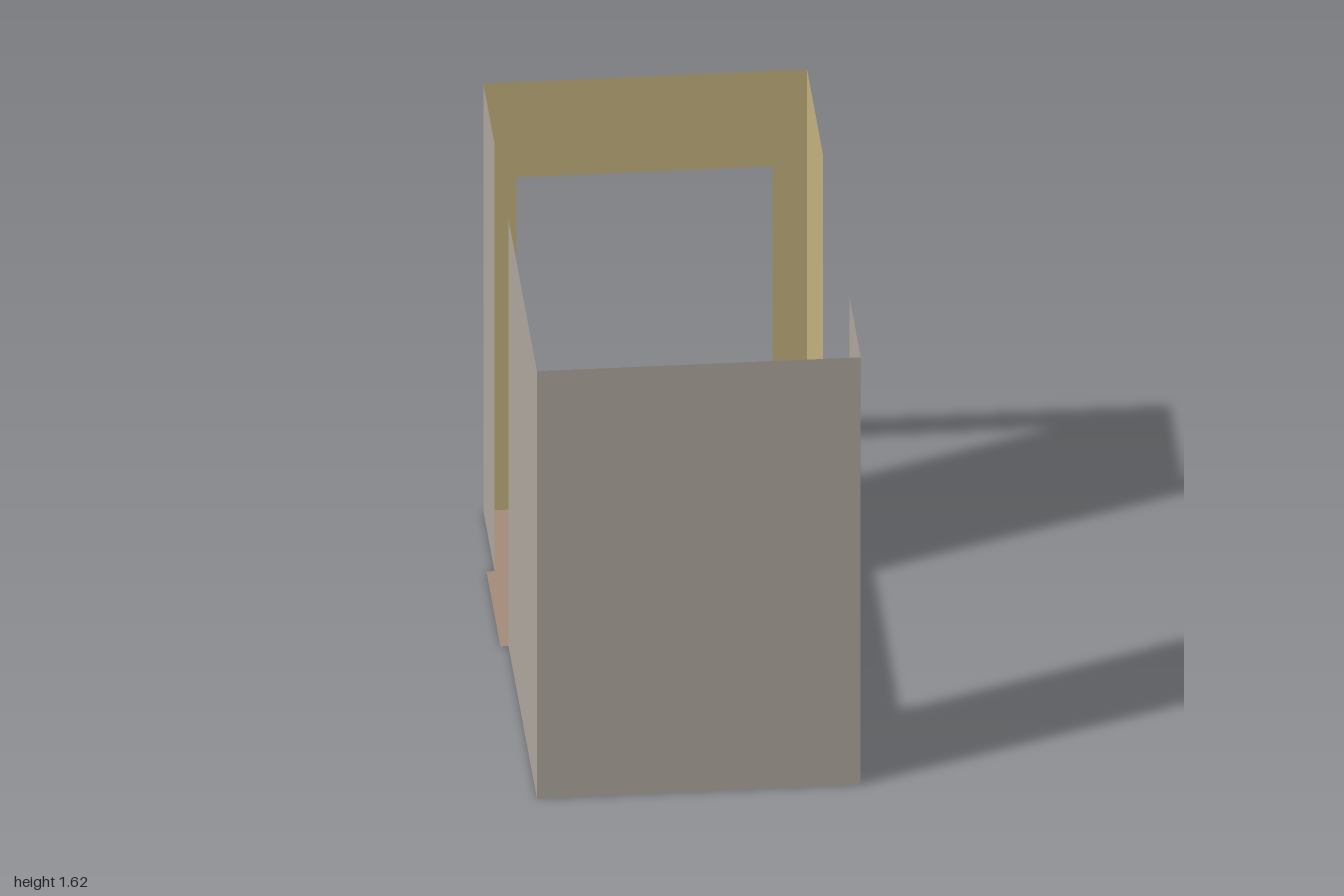
import * as THREE from 'three';

const L = 0.553, R = -0.529, F = 1, B = -1, H = 1.622;

export function createModel() {
  const model = new THREE.Group();
  const make = (name, hex) => {
    const m = new THREE.MeshStandardMaterial({ color: hex, side: THREE.DoubleSide });
    m.name = name;
    return m;
  };
  const grey = make('warm grey wall', 0xb1aaa0);
  const yellow = make('ochre wall', 0xc8b581);
  const brown = make('brown floor', 0xa68d7a);

  const add = (name, geometry, material) => {
    const mesh = new THREE.Mesh(geometry, material);
    mesh.name = name;
    model.add(mesh);
    return mesh;
  };
  // Sheet wall running along z, facing +x
  const sideWall = (name, x, z0, z1, material) =>
    add(name, new THREE.PlaneGeometry(z1 - z0, H).rotateY(Math.PI / 2)
      .translate(x, H / 2, (z0 + z1) / 2), material);
  // Flat floor sheet facing up
  const floorSheet = (name, x0, x1, z0, z1) =>
    add(name, new THREE.PlaneGeometry(x1 - x0, z1 - z0).rotateX(-Math.PI / 2)
      .translate((x0 + x1) / 2, 0, (z0 + z1) / 2), brown);

  // Floor and the sill projecting through the right doorway
  floorSheet('floor', R, L, B, F);
  floorSheet('doorSill', -0.556, R, -0.58, -0.06);

  // Front wall
  add('frontWall', new THREE.PlaneGeometry(L - R, H).translate((L + R) / 2, H / 2, F), grey);

  // Side walls with open gaps between the segments
  sideWall('leftFrontWall', L, 0.575, F, grey);
  sideWall('leftBackWall', L, B, -0.4, yellow);
  sideWall('rightFrontWall', R, -0.055, F, grey);
  sideWall('rightBackWall', R, B, -0.578, grey);

  // Back wall: two jambs and a lintel around a full-height doorway
  const outline = [
    [L, 0], [L, H], [R, H], [R, 0],
    [-0.418, 0], [-0.418, 1.26], [0.437, 1.26], [0.437, 0],
  ].map(([x, y]) => new THREE.Vector2(x, y));
  add('backWall', new THREE.ShapeGeometry(new THREE.Shape(outline)).translate(0, 0, B), yellow);

  // Tiny stud on the left front wall
  add('wallStud', new THREE.BoxGeometry(0.004, 0.016, 0.02).translate(L, 0.603, 0.766), brown);

  return model;
}
